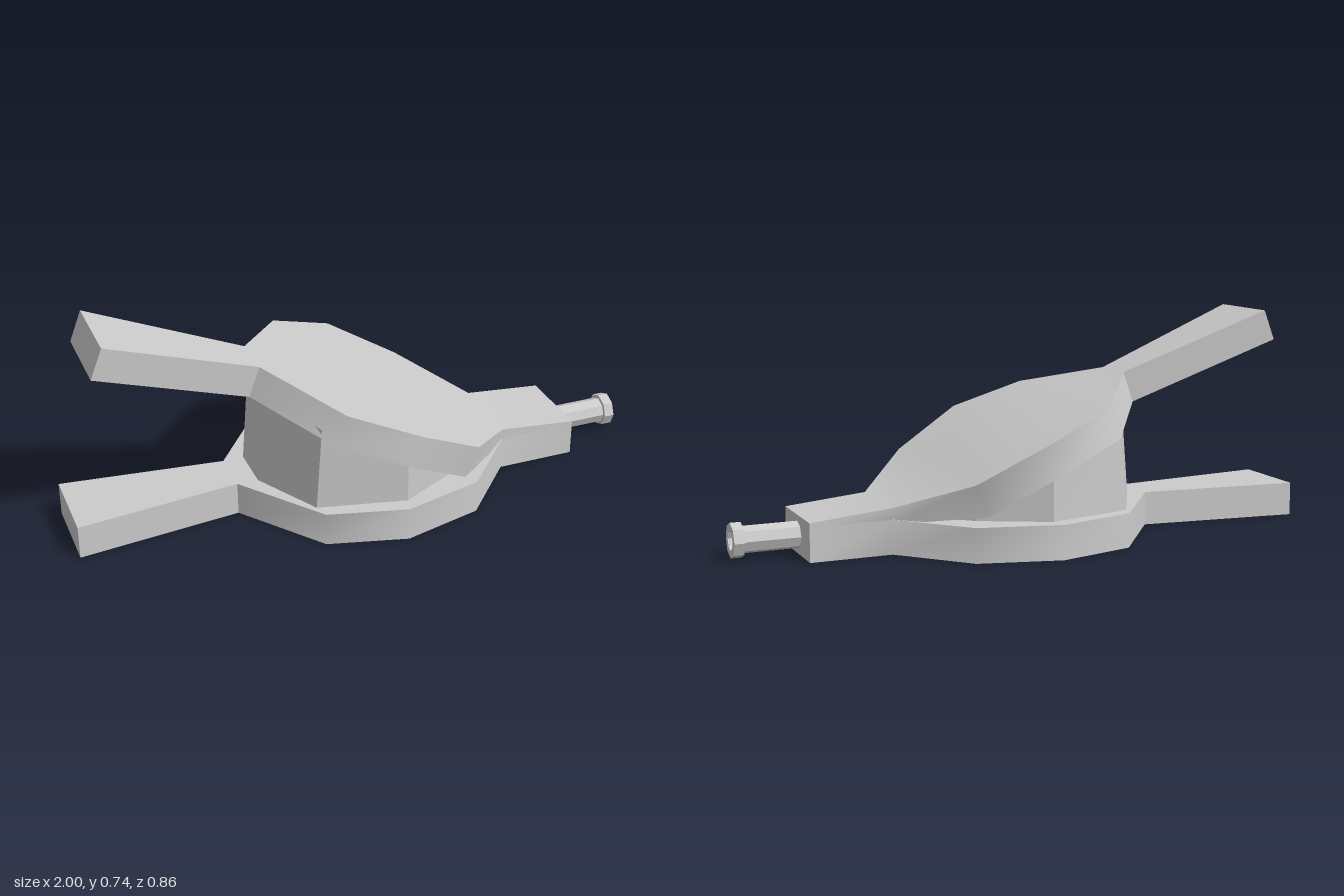
import * as THREE from 'three';
import { toCreasedNormals } from 'three/addons/utils/BufferGeometryUtils.js';

// Joins four-cornered sections along x.
// Each section: [top x, top y, top half width, bottom x, bottom y, bottom half width]
function loft(sections, crease) {
  const pos = [];
  const rings = sections.map(([tx, ty, tw, bx, by, bw]) => [
    [tx, ty, tw], [tx, ty, -tw], [bx, by, -bw], [bx, by, bw],
  ]);
  const quad = (a, b, c, d) => pos.push(...a, ...b, ...c, ...a, ...c, ...d);
  for (let i = 0; i < rings.length - 1; i++) {
    const p = rings[i], q = rings[i + 1];
    for (let k = 0; k < 4; k++) {
      const n = (k + 1) % 4;
      quad(p[k], q[k], q[n], p[n]);
    }
  }
  const s = rings[0], e = rings[rings.length - 1];
  quad(s[0], s[1], s[2], s[3]);
  quad(e[3], e[2], e[1], e[0]);
  const geo = new THREE.BufferGeometry();
  geo.setAttribute('position', new THREE.Float32BufferAttribute(pos, 3));
  geo.computeVertexNormals();
  return crease ? toCreasedNormals(geo, crease) : geo;
}

export function createModel() {
  const group = new THREE.Group();
  const smooth = new THREE.MeshStandardMaterial({ color: 0xcccccc });
  const flat = new THREE.MeshStandardMaterial({ color: 0xcccccc, flatShading: true });
  const add = (name, geo, mat) => {
    const mesh = new THREE.Mesh(geo, mat);
    mesh.name = name;
    group.add(mesh);
    return mesh;
  };

  // Flat lower board with its handle
  const lower = [
    [-1, 0.14], [-0.445, 0.078], [-0.235, 0.36], [0.03, 0.43],
    [0.305, 0.36], [0.505, 0.14], [0.78, 0.14],
  ].map(([x, w]) => [x, 0.115, w, x, 0, w]);
  add('lowerBoard', loft(lower, 0.87), smooth);

  // Raised upper board, bending down into the nozzle block
  add('upperBoard', loft([
    [-0.875, 0.738, 0.14, -0.915, 0.635, 0.14],
    [-0.355, 0.54, 0.078, -0.392, 0.437, 0.078],
    [-0.16, 0.467, 0.36, -0.2, 0.363, 0.36],
    [0.07, 0.38, 0.43, 0.04, 0.272, 0.43],
    [0.305, 0.25, 0.36, 0.26, 0.145, 0.36],
    [0.505, 0.153, 0.14, 0.5, 0.1, 0.14],
    [0.78, 0.128, 0.14, 0.78, 0.11, 0.14],
  ], 0.87), smooth);

  // Air bag between the boards
  add('airBag', loft([
    [-0.347, 0.45, 0.08, -0.375, 0.1, 0.08],
    [-0.228, 0.405, 0.31, -0.25, 0.1, 0.31],
    [0.045, 0.3, 0.378, 0.045, 0.1, 0.378],
    [0.265, 0.175, 0.267, 0.265, 0.1, 0.267],
    [0.45, 0.125, 0.1, 0.45, 0.1, 0.1],
  ]), flat);

  // Hollow eight-sided nozzle with a flanged tip
  const profile = [
    [0.045, 0.76], [0.045, 0.965], [0.058, 0.965], [0.058, 1],
    [0.033, 1], [0.033, 0.8], [0, 0.8],
  ].map(([r, x]) => new THREE.Vector2(r, x));
  const nozzle = add('nozzle', new THREE.LatheGeometry(profile, 8), flat);
  nozzle.rotation.z = -Math.PI / 2;
  nozzle.position.y = 0.063;

  return group;
}
